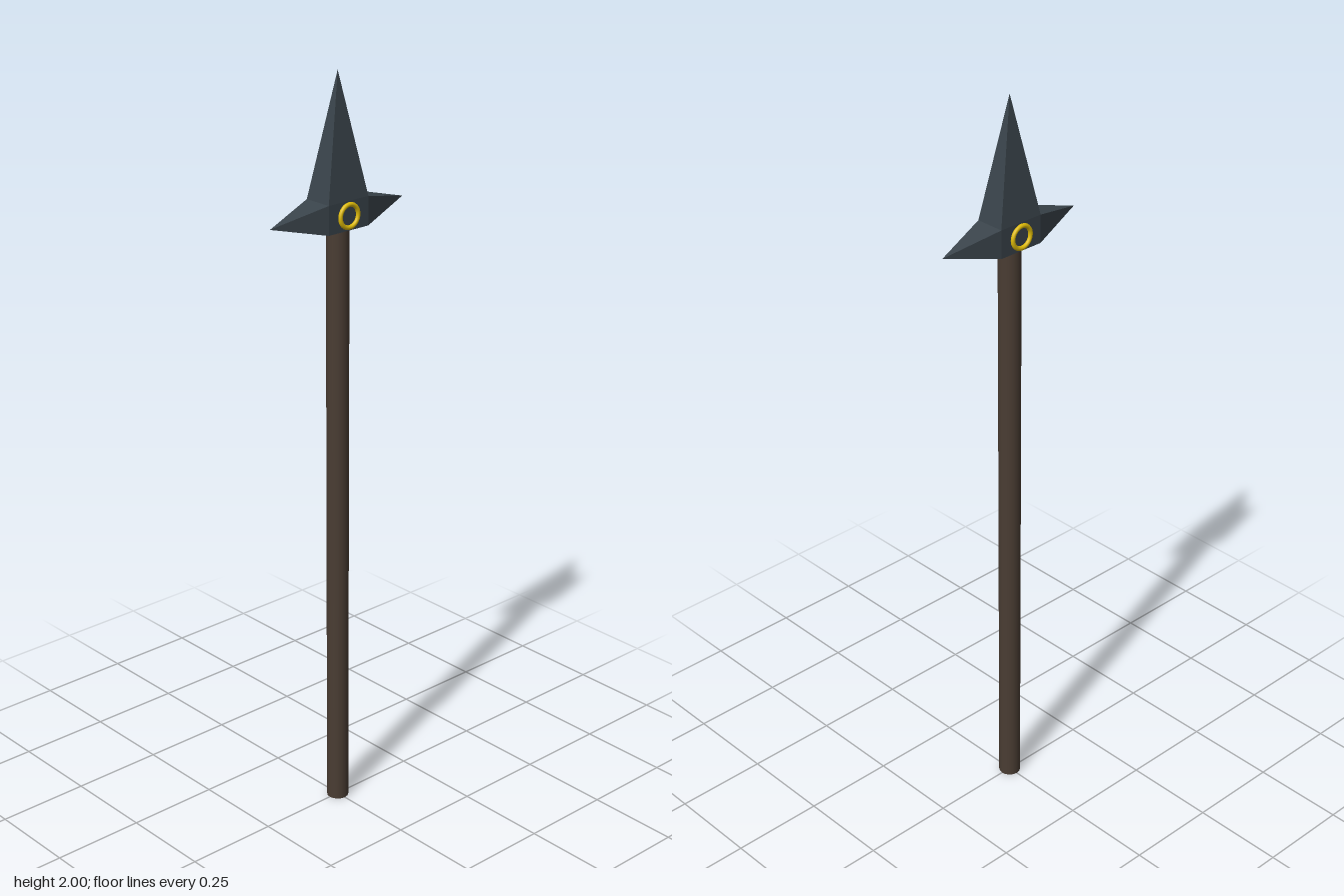
import * as THREE from 'three';

const steel = new THREE.MeshStandardMaterial({ color: 0x3a444b, flatShading: true });
const wood = new THREE.MeshStandardMaterial({ color: 0x4a3d33 });
const gold = new THREE.MeshStandardMaterial({ color: 0xe0bc08 });

// Head block: half width, half depth, bottom and top
const HX = 0.04, HZ = 0.065, Y0 = 1.61, Y1 = 1.685, YC = (Y0 + Y1) / 2;

function add(parent, name, geometry, material) {
  const mesh = new THREE.Mesh(geometry, material);
  mesh.name = name;
  parent.add(mesh);
  return mesh;
}

// Four-sided spike with a rectangular base at y = 0, pointing up
function spike(width, depth, length) {
  return new THREE.ConeGeometry(Math.SQRT1_2, 1, 4, 1, true)
    .rotateY(Math.PI / 4)
    .translate(0, 0.5, 0)
    .scale(width, length, depth);
}

export function createModel() {
  const group = new THREE.Group();
  group.name = 'spear';

  // Wooden pole
  add(group, 'shaft', new THREE.CylinderGeometry(0.029, 0.029, 1.63, 16).translate(0, 0.815, 0), wood);

  // Steel head: block, long point and two side spikes
  const head = new THREE.Group();
  head.name = 'head';
  group.add(head);
  add(head, 'headBlock', new THREE.BoxGeometry(HX * 2, Y1 - Y0, HZ * 2).translate(0, YC, 0), steel);
  add(head, 'point', spike(HX * 2, HZ * 2, 2 - Y1).translate(0, Y1, 0), steel);
  for (const s of [1, -1]) {
    const side = spike(HX * 2, Y1 - Y0, 0.218 - HZ).rotateX(s * Math.PI / 2).translate(0, YC, s * HZ);
    add(head, s > 0 ? 'frontSpike' : 'backSpike', side, steel);

    // Gold ring on each flat side
    const ring = new THREE.TorusGeometry(0.029, 0.006, 10, 32).rotateY(Math.PI / 2).translate(s * 0.042, YC, 0);
    add(head, s > 0 ? 'leftRing' : 'rightRing', ring, gold);
  }
  return group;
}
